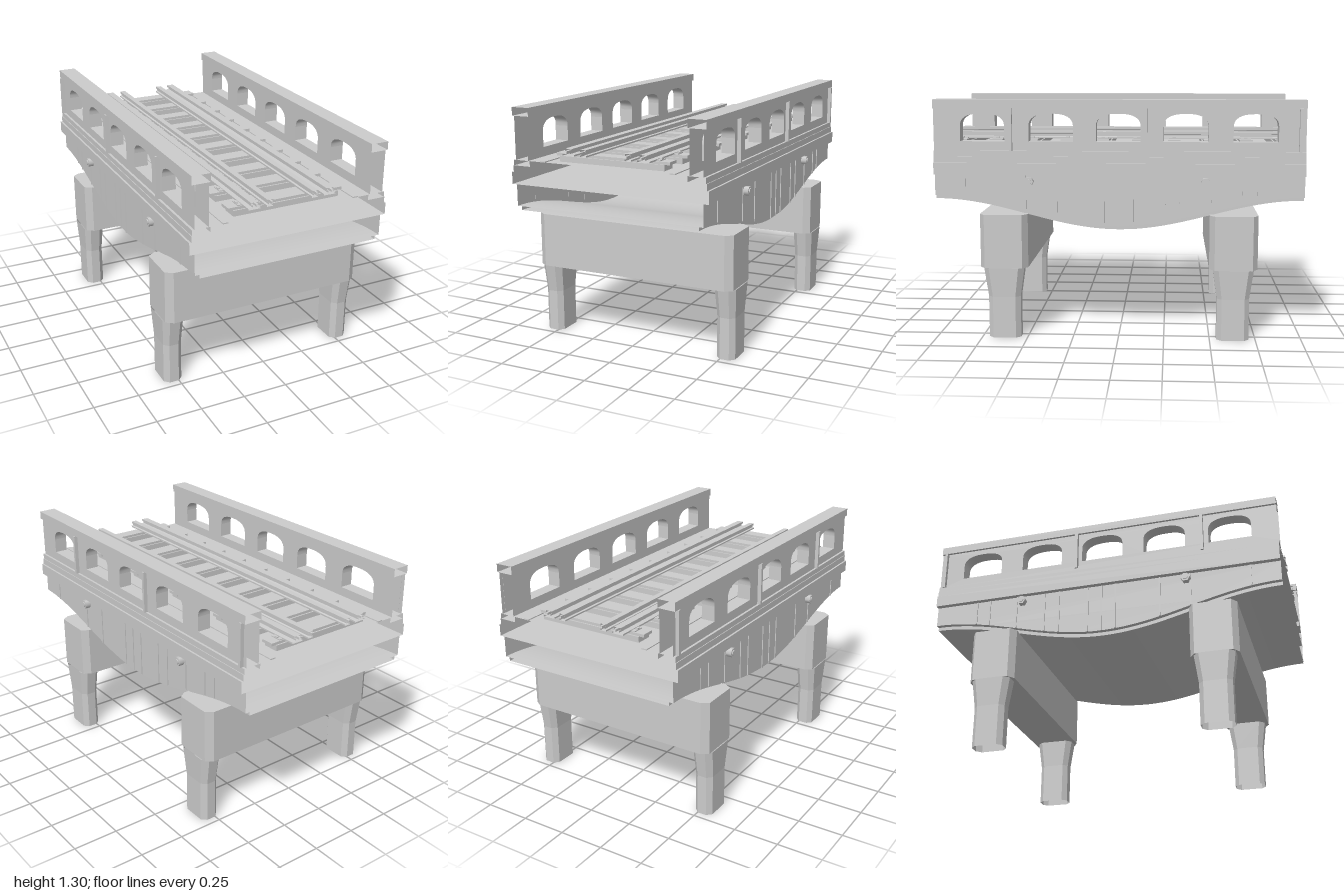
import * as THREE from 'three';

const concrete = new THREE.MeshStandardMaterial({ color: 0xcccccc, side: THREE.DoubleSide });
concrete.name = 'concrete grey';

// Open shell: a profile in (x, y) swept from z = a to z = b
function sweep(points, a, b, closed = false, smooth = false) {
  const pts = closed ? [...points, points[0]] : points;
  const pos = [], index = [];
  pts.forEach(([x, y], i) => {
    pos.push(x, y, a, x, y, b);
    if (i) {
      const k = 2 * i;
      index.push(k - 2, k, k - 1, k, k + 1, k - 1);
    }
  });
  let geo = new THREE.BufferGeometry();
  geo.setAttribute('position', new THREE.Float32BufferAttribute(pos, 3));
  geo.setIndex(index);
  if (!smooth) geo = geo.toNonIndexed();
  geo.computeVertexNormals();
  return geo;
}

function add(parent, name, geo, x = 0, y = 0, z = 0) {
  const mesh = new THREE.Mesh(geo, concrete);
  mesh.name = name;
  mesh.position.set(x, y, z);
  parent.add(mesh);
  return mesh;
}

const box = (w, h, d) => new THREE.BoxGeometry(w, h, d);
const rect = (x0, x1, y0, y1) => [[x0, y0], [x1, y0], [x1, y1], [x0, y1]];
const toShape = (pts) => new THREE.Shape(pts.map(([x, y]) => new THREE.Vector2(x, y)));
// Turns a (z, y) drawing so that its plane faces along x
const sideways = (geo) => geo.rotateY(-Math.PI / 2);

// Underside curve of the girder, deepest at midspan
const curve = (lift) => Array.from({ length: 41 }, (_, i) => {
  const z = -1 + i / 20;
  return [z, 0.6825 - 0.0825 * Math.cos(Math.PI * z) + lift];
});

// Arched window outline centred on z = c
function windowPoints(c) {
  const pts = [[c - 0.12, 1.08]];
  for (let i = 0; i <= 16; i++) {
    const t = Math.PI * (1 - i / 16);
    const cs = Math.cos(t), sn = Math.sin(t);
    pts.push([c + 0.12 * Math.sign(cs) * Math.abs(cs) ** 0.8, 1.16 + 0.07 * sn ** 0.8]);
  }
  pts.push([c + 0.12, 1.08]);
  return pts;
}

// Column through chamfered rectangular sections { y, hx, hz, c, cz }
function chamferedColumn(sections, capped) {
  const pos = [], index = [];
  sections.forEach(({ y, hx, hz, c, cz = c }, s) => {
    const ring = [[hx, hz - cz], [hx - c, hz], [c - hx, hz], [-hx, hz - cz],
      [-hx, cz - hz], [c - hx, -hz], [hx - c, -hz], [hx, cz - hz]];
    ring.forEach(([x, z], i) => {
      pos.push(x, y, z);
      if (s) {
        const p = (s - 1) * 8 + i, q = (s - 1) * 8 + (i + 1) % 8;
        index.push(p, q, p + 8, q, q + 8, p + 8);
      }
    });
  });
  if (capped) {
    const top = (sections.length - 1) * 8;
    for (let i = 1; i < 7; i++) index.push(0, i, i + 1, top, top + i + 1, top + i);
  }
  const geo = new THREE.BufferGeometry();
  geo.setAttribute('position', new THREE.Float32BufferAttribute(pos, 3));
  geo.setIndex(index);
  const flat = geo.toNonIndexed();
  flat.computeVertexNormals();
  return flat;
}

// One side of the bridge on +x: parapet, girder web and fittings
function buildSide(name, sign) {
  const side = new THREE.Group();
  side.name = name;
  side.scale.x = sign;

  // Parapet with five arched windows
  const wall = toShape(rect(-1, 1, 1.03, 1.26));
  const windows = [-0.735, -0.363, 0, 0.363, 0.735].map(windowPoints);
  wall.holes = windows.map(toShape);
  for (const x of [0.46, 0.535]) add(side, 'parapetWall', sideways(new THREE.ShapeGeometry(wall)), x);
  for (const w of windows) {
    add(side, 'windowArch', sideways(sweep(w.slice(1, -1), -0.535, -0.46, false, true)));
    add(side, 'windowSill', sideways(sweep([w[0], w[w.length - 1]], -0.535, -0.46)));
    for (const e of [[w[0], w[1]], [w[w.length - 2], w[w.length - 1]]])
      add(side, 'windowJamb', sideways(sweep(e, -0.535, -0.46)));
  }
  add(side, 'parapetCap', sweep(rect(0.45, 0.548, 1.26, 1.305), -1, 1, true));
  add(side, 'parapetFoot', sweep(rect(0.45, 0.548, 1.0, 1.03), -1, 1, true));
  for (const z of [0.58, -0.15, -0.97]) add(side, 'parapetStrip', box(0.022, 0.23, 0.016), 0.545, 1.145, z);

  // Cornice along the deck edge
  add(side, 'cornice', sweep([[0.535, 0.9], [0.563, 0.9], [0.563, 0.965], [0.552, 0.965], [0.552, 1], [0.535, 1]], -1, 1));

  // Girder web and the edge of its bottom plate
  const upper = curve(0.02), lower = curve(0);
  add(side, 'girderWeb', sideways(new THREE.ShapeGeometry(toShape([...upper, [1, 0.9], [-1, 0.9]]))), 0.535);
  add(side, 'plateEdge', sideways(new THREE.ShapeGeometry(toShape([...lower, ...upper.slice().reverse()]))), 0.51);
  for (const z of [0.837, 0.505, 0.333, 0.08, 0, -0.08, -0.25, -0.336, -0.505, -0.67, -0.75]) {
    const bottom = 0.7025 - 0.0825 * Math.cos(Math.PI * z);
    add(side, 'girderRib', box(0.006, 0.9 - bottom, 0.008), 0.537, (0.9 + bottom) / 2, z);
  }

  // Hexagonal bolts
  for (const z of [0.483, -0.47]) {
    add(side, 'boltHead', new THREE.CylinderGeometry(0.026, 0.026, 0.032, 6).rotateZ(Math.PI / 2), 0.551, 0.865, z);
    add(side, 'boltTip', new THREE.CylinderGeometry(0.015, 0.015, 0.006, 12).rotateZ(Math.PI / 2), 0.569, 0.865, z);
  }

  // Drain ledge, running rail and guard rail
  add(side, 'deckLedge', box(0.03, 0.006, 2), 0.37, 1.032, 0);
  const railProfile = (c, foot, head) => [[c - foot, 1.075], [c + foot, 1.075], [c + foot, 1.083], [c + head * 0.5, 1.086],
    [c + head * 0.5, 1.098], [c + head, 1.1], [c + head, 1.112], [c - head, 1.112],
    [c - head, 1.1], [c - head * 0.5, 1.098], [c - head * 0.5, 1.086], [c - foot, 1.083]];
  add(side, 'runningRail', sweep(railProfile(0.214, 0.034, 0.02), -1, 1, true));
  add(side, 'guardRail', sweep(railProfile(0.128, 0.018, 0.016), -1, 1, true));
  return side;
}

export function createModel() {
  const model = new THREE.Group();
  model.name = 'railBridge';
  model.add(buildSide('leftSide', 1), buildSide('rightSide', -1));

  // Deck surfaces and curved bottom plate
  add(model, 'deckTop', sweep([[-0.46, 1.03], [0.46, 1.03]], -1, 1));
  add(model, 'deckUnderside', sweep([[-0.535, 0.9], [0.535, 0.9]], -1, 1));
  add(model, 'bottomPlate', sideways(sweep(curve(0), -0.51, 0.51, false, true)));
  add(model, 'girderSoffit', sideways(sweep(curve(0.02), -0.535, 0.535, false, true)));

  // Sleepers with rail plates and fasteners
  for (let i = 0; i < 10; i++) {
    const z = -0.9 + i * 0.2;
    add(model, 'sleeper', box(0.6, 0.032, 0.088), 0, 1.045, z);
    add(model, 'sleeperTop', box(0.65, 0.015, 0.072), 0, 1.0675, z);
    for (const s of [-1, 1]) {
      add(model, 'railPlate', box(0.116, 0.005, 0.06), s * 0.212, 1.0775, z);
      for (const x of [0.165, 0.263]) add(model, 'fastener', box(0.012, 0.006, 0.02), s * x, 1.083, z);
    }
  }

  // Two piers, each a crossbeam on a pair of tapered legs
  for (const z of [-0.625, 0.625]) {
    const pier = new THREE.Group();
    pier.name = z > 0 ? 'frontPier' : 'backPier';
    pier.position.z = z;
    model.add(pier);
    const beam = { hx: 0.58, hz: 0.131, c: 0.04, cz: 0.028 };
    add(pier, 'crossbeam', chamferedColumn([{ y: 0.39, ...beam }, { y: 0.685, ...beam }], true));
    const legSections = [
      { y: 0, hx: 0.052, hz: 0.088, c: 0.026 },
      { y: 0.23, hx: 0.052, hz: 0.088, c: 0.026 },
      { y: 0.39, hx: 0.06, hz: 0.111, c: 0.03 },
    ];
    for (const s of [-1, 1]) add(pier, 'leg', chamferedColumn(legSections, false), s * 0.526);
  }
  return model;
}
